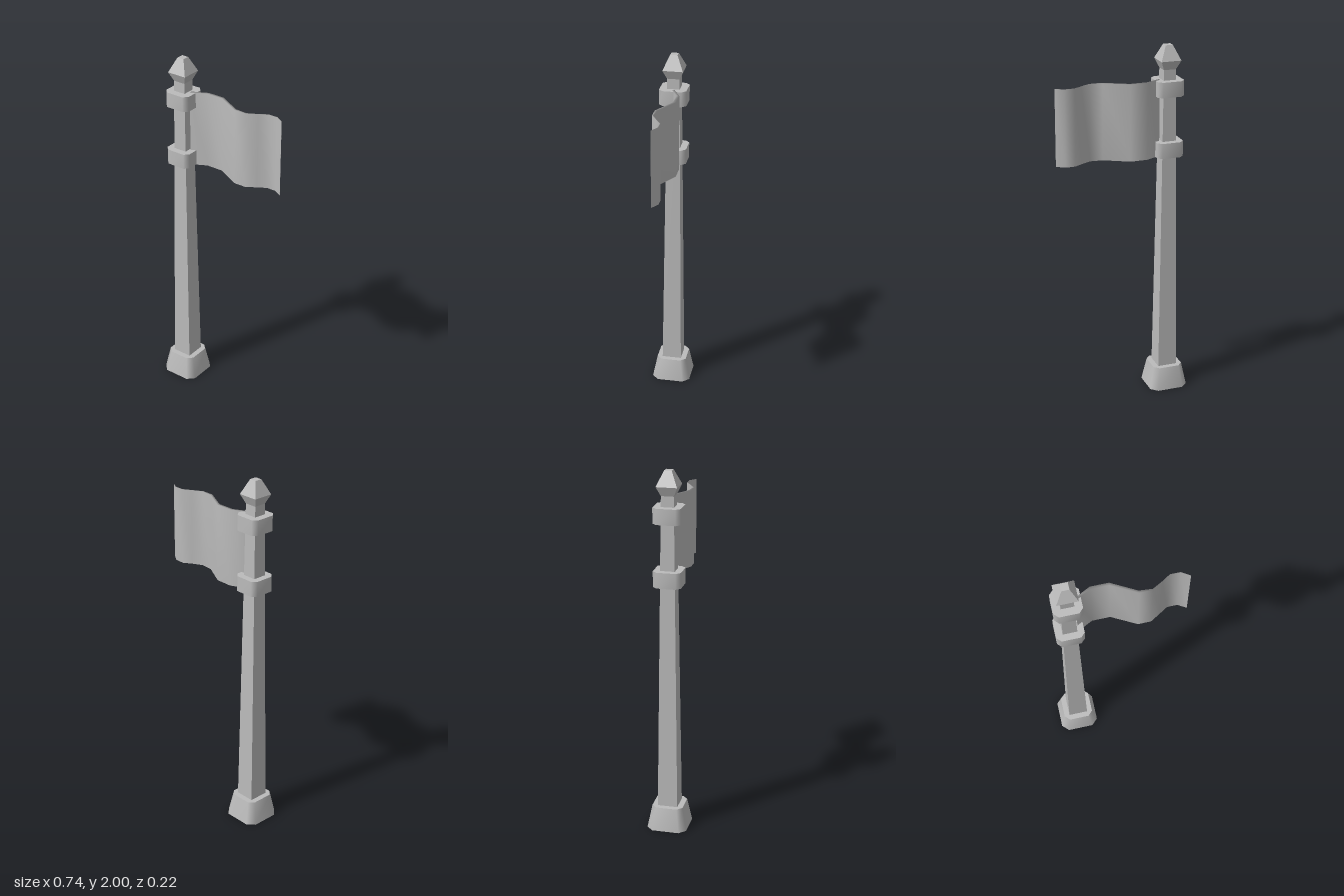
import * as THREE from 'three';

// Square outline, with cut corners when c < h (h: half width, c: half length of the flat side)
function outline(h, c) {
  if (c >= h) return [[h, -h], [h, h], [-h, h], [-h, -h]];
  return [[h, -c], [h, c], [c, h], [-c, h], [-h, c], [-h, -c], [-c, -h], [c, -h]];
}

// Joins stacked outlines [y, h, c] with sides and two flat caps
function loft(levels, smooth) {
  const rings = levels.map(([y, h, c]) => outline(h, c).map(([x, z]) => [x, y, z]));
  const n = rings[0].length;
  const pos = rings.flat(2);
  const index = [];
  for (let r = 0; r < rings.length - 1; r++) {
    for (let i = 0; i < n; i++) {
      const a = r * n + i, b = r * n + (i + 1) % n;
      index.push(a, a + n, b, b, a + n, b + n);
    }
  }
  // Caps have their own corners so that their edges stay sharp
  const bottom = pos.length / 3;
  pos.push(...rings[0].flat());
  const top = bottom + n;
  pos.push(...rings[rings.length - 1].flat());
  for (let i = 1; i < n - 1; i++) {
    index.push(bottom, bottom + i, bottom + i + 1);
    index.push(top, top + i + 1, top + i);
  }
  let geo = new THREE.BufferGeometry();
  geo.setAttribute('position', new THREE.Float32BufferAttribute(pos, 3));
  geo.setIndex(index);
  if (!smooth) geo = geo.toNonIndexed();
  geo.computeVertexNormals();
  return geo;
}

// Waving cloth, thick at the pole and tapering to a thin free edge: path of [x, z, thickness]
function cloth(path, y0, y1) {
  const pos = [], index = [];
  for (const [x, z, t] of path) {
    pos.push(x, y0, z + t / 2, x, y1, z + t / 2, x, y1, z - t / 2, x, y0, z - t / 2);
  }
  for (let i = 0; i < path.length - 1; i++) {
    for (let k = 0; k < 4; k++) {
      const a = i * 4 + k, b = i * 4 + (k + 1) % 4;
      index.push(a, a + 4, b, b, a + 4, b + 4);
    }
  }
  const e = (path.length - 1) * 4;
  index.push(0, 1, 2, 0, 2, 3, e, e + 2, e + 1, e, e + 3, e + 2);
  const geo = new THREE.BufferGeometry();
  geo.setAttribute('position', new THREE.Float32BufferAttribute(pos, 3));
  geo.setIndex(index);
  geo.computeVertexNormals();
  return geo;
}

export function createModel() {
  const model = new THREE.Group();
  model.name = 'flagpole';
  const grey = new THREE.MeshStandardMaterial({ color: 0xbbbbbb });
  grey.name = 'plain grey';

  const add = (name, geo, x = 0, y = 0) => {
    const mesh = new THREE.Mesh(geo, grey);
    mesh.name = name;
    mesh.position.set(x, y, 0);
    model.add(mesh);
  };
  const poleX = -0.26;

  // Foot with cut corners
  add('base', loft([[0, 0.11, 0.074], [0.13, 0.085, 0.057]], true), poleX);

  // Tapering square pole and its pointed tip
  add('pole', loft([[0.12, 0.055, 1], [1.875, 0.034, 1]], false), poleX);
  add('finial', loft([[1.87, 0.034, 1], [1.92, 0.056, 1], [2, 0.02, 1]], false), poleX);

  // Two collars holding the flag
  const collar = loft([[0, 0.075, 0.051], [0.085, 0.075, 0.051]], true);
  add('lowerCollar', collar, poleX, 1.39);
  add('upperCollar', collar, poleX, 1.728);

  // Flag
  const path = [
    [-0.213, -0.002, 0.015], [-0.13, -0.044, 0.015], [-0.033, -0.044, 0.015],
    [0.1, 0.028, 0.013], [0.17, 0.031, 0.007], [0.225, 0, 0.003],
    [0.27, -0.028, 0.004], [0.325, -0.028, 0.004], [0.37, 0, 0.001],
  ];
  add('flag', cloth(path, 1.388, 1.814));

  return model;
}
